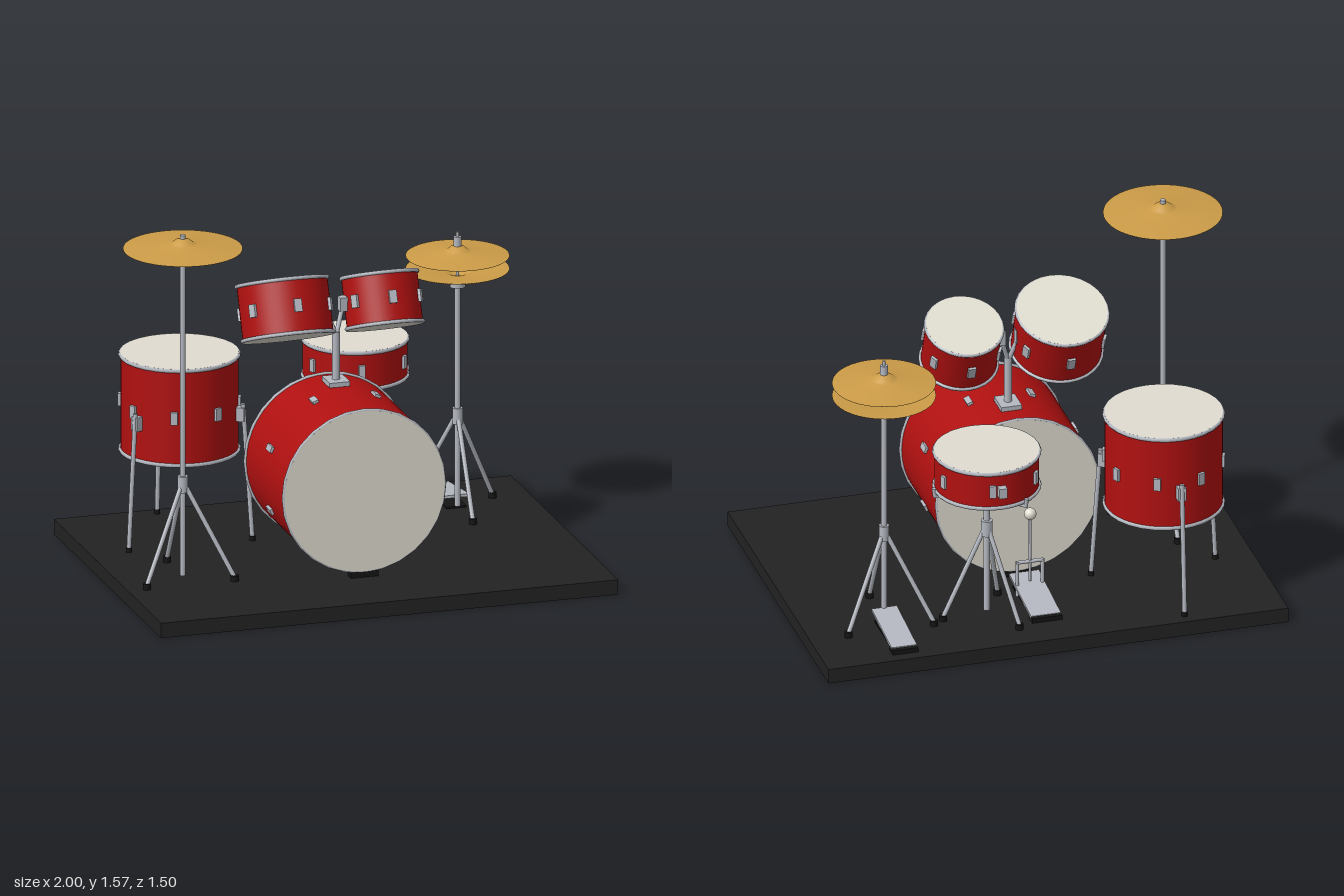
import * as THREE from 'three';

const mat = (name, color, side = THREE.FrontSide) => {
  const m = new THREE.MeshStandardMaterial({ color, side });
  m.name = name;
  return m;
};

export function createModel() {
  const red = mat('red shell', 0xb01010);
  const cream = mat('cream head', 0xe0dcd0);
  const chrome = mat('chrome', 0xb4b8c0);
  const gold = mat('cymbal bronze', 0xcc9c48, THREE.DoubleSide);
  const dark = mat('dark platform', 0x222222);
  const black = mat('black rubber', 0x141414);

  const model = new THREE.Group();
  model.name = 'drumKit';

  const add = (parent, name, geo, material, x = 0, y = 0, z = 0) => {
    const m = new THREE.Mesh(geo, material);
    m.name = name;
    m.position.set(x, y, z);
    parent.add(m);
    return m;
  };
  const group = (name, x = 0, y = 0, z = 0, parent = model) => {
    const g = new THREE.Group();
    g.name = name;
    g.position.set(x, y, z);
    parent.add(g);
    return g;
  };
  const box = (p, name, w, h, d, m, x, y, z) => add(p, name, new THREE.BoxGeometry(w, h, d), m, x, y, z);
  const cyl = (p, name, r, y0, y1, m, x = 0, z = 0) =>
    add(p, name, new THREE.CylinderGeometry(r, r, y1 - y0, 16), m, x, (y0 + y1) / 2, z);
  // Straight rod between two points
  const rod = (p, name, a, b, r, m = chrome) => {
    const A = new THREE.Vector3(...a), B = new THREE.Vector3(...b);
    const d = B.clone().sub(A);
    const mesh = add(p, name, new THREE.CylinderGeometry(r, r, d.length(), 10), m);
    mesh.position.copy(A).add(B).multiplyScalar(0.5);
    mesh.quaternion.setFromUnitVectors(new THREE.Vector3(0, 1, 0), d.normalize());
    return mesh;
  };

  // Drum centred on its own origin with its axis along y
  const drum = (name, r, h, lugs, offset, lugW, lugH, x, y, z) => {
    const g = group(name, x, y, z);
    add(g, 'shell', new THREE.CylinderGeometry(r - 0.007, r - 0.007, h - 0.012, 48, 1, true), red);
    for (const s of [1, -1]) {
      add(g, 'head', new THREE.CylinderGeometry(r - 0.006, r - 0.006, 0.006, 48), cream, 0, s * (h / 2 - 0.003), 0);
      const hoop = add(g, 'hoop', new THREE.TorusGeometry(r - 0.006, 0.009, 6, 28), chrome, 0, s * (h / 2 - 0.008), 0);
      hoop.rotation.x = Math.PI / 2;
    }
    for (let i = 0; i < lugs; i++) {
      const a = offset + (i / lugs) * Math.PI * 2;
      const lug = box(g, 'lug', lugW, lugH, 0.014, chrome, Math.sin(a) * (r - 0.003), 0, Math.cos(a) * (r - 0.003));
      lug.rotation.y = a;
    }
    return g;
  };

  // Three splayed legs with rubber feet and a collar
  const tripod = (g, spread, start, collarR = 0.022) => {
    cyl(g, 'collar', collarR, 0.44, 0.51, chrome);
    for (let i = 0; i < 3; i++) {
      const a = start + (i * Math.PI * 2) / 3, s = Math.sin(a), c = Math.cos(a);
      rod(g, 'leg', [s * 0.015, 0.46, c * 0.015], [s * spread, 0.08, c * spread], 0.01);
      cyl(g, 'foot', 0.017, 0.065, 0.09, black, s * spread, c * spread);
    }
  };

  // Bowed disc with a raised bell; y = 0 at the rim
  const cymbal = (p, name, r, y) => {
    const pts = [[0.008, 0.043], [0.03, 0.036], [0.045, 0.024], [0.06, 0.018], [r * 0.6, 0.008], [r, 0],
      [r, -0.003], [r * 0.6, 0.004], [0.06, 0.014], [0.04, 0.018], [0.008, 0.036]];
    return add(p, name, new THREE.LatheGeometry(pts.map(q => new THREE.Vector2(...q)).reverse(), 48), gold, 0, y, 0);
  };

  // Platform
  box(model, 'platform', 2, 0.065, 1.5, dark, 0, 0.0325, 0);

  // Bass drum lying on its side, with low supports
  drum('bassDrum', 0.357, 0.55, 8, Math.PI / 8, 0.026, 0.06, 0, 0.442, 0.125).rotation.x = Math.PI / 2;
  for (const z of [0.38, -0.13]) box(model, 'bassSupport', 0.12, 0.025, 0.04, black, 0, 0.077, z);

  // Rack toms tilted toward the player, on a shared post
  const tilt = -0.385;
  drum('rightTom', 0.198, 0.245, 6, 0, 0.033, 0.055, -0.215, 1.13, -0.025).rotation.x = tilt;
  drum('leftTom', 0.167, 0.228, 6, 0, 0.033, 0.055, 0.212, 1.128, -0.033).rotation.x = tilt;
  const mount = group('tomMount');
  box(mount, 'mountPlate', 0.09, 0.02, 0.11, chrome, 0, 0.803, 0);
  cyl(mount, 'mountPost', 0.016, 0.8, 1.02, chrome);
  for (const s of [1, -1]) {
    rod(mount, 'tomArm', [0, 1.0, 0], [s * 0.04, 1.13, -0.03], 0.01);
    box(mount, 'tomBracket', 0.035, 0.06, 0.04, chrome, s * 0.04, 1.13, -0.03);
  }

  // Floor tom on three legs
  drum('floorTom', 0.254, 0.43, 8, Math.PI / 8, 0.03, 0.055, -0.565, 0.655, -0.383);
  const floorLegs = group('floorTomLegs', -0.565, 0, -0.383);
  for (let i = 0; i < 3; i++) {
    const a = Math.PI / 3 + (i * Math.PI * 2) / 3, s = Math.sin(a), c = Math.cos(a);
    box(floorLegs, 'legBracket', 0.035, 0.06, 0.035, chrome, s * 0.262, 0.615, c * 0.262).rotation.y = a;
    rod(floorLegs, 'floorLeg', [s * 0.272, 0.66, c * 0.272], [s * 0.312, 0.075, c * 0.312], 0.01);
    cyl(floorLegs, 'floorFoot', 0.013, 0.065, 0.085, black, s * 0.312, c * 0.312);
  }

  // Snare drum with strainer, basket and tripod
  const snare = drum('snareDrum', 0.226, 0.175, 6, -0.17, 0.028, 0.055, 0.225, 0.755, -0.453);
  box(snare, 'strainer', 0.035, 0.045, 0.035, chrome, 0, 0, -0.234);
  const snareStand = group('snareStand', 0.225, 0, -0.453);
  cyl(snareStand, 'pole', 0.013, 0.09, 0.64, chrome);
  tripod(snareStand, 0.19, Math.PI / 2, 0.025);
  for (let i = 0; i < 3; i++) {
    const a = Math.PI / 2 + (i * Math.PI * 2) / 3, s = Math.sin(a), c = Math.cos(a);
    rod(snareStand, 'basketArm', [0, 0.625, 0], [s * 0.225, 0.655, c * 0.225], 0.008);
    rod(snareStand, 'basketClaw', [s * 0.225, 0.65, c * 0.225], [s * 0.23, 0.69, c * 0.23], 0.009);
  }

  // Crash cymbal on a tall stand
  const crash = group('crashStand', -0.725, 0, 0.175);
  cyl(crash, 'pole', 0.012, 0.075, 1.53, chrome);
  cyl(crash, 'wingNut', 0.012, 1.53, 1.565, chrome);
  tripod(crash, 0.222, Math.PI / 3);
  cymbal(crash, 'crashCymbal', 0.25, 1.508);

  // Hi-hat: mirrored cymbal pair, rod, clutch and pedal
  const hat = group('hiHat', 0.65, 0, -0.378);
  cyl(hat, 'pole', 0.013, 0.08, 1.05, chrome);
  cyl(hat, 'pullRod', 0.007, 1.05, 1.28, chrome);
  cyl(hat, 'seat', 0.033, 1.04, 1.075, chrome);
  cyl(hat, 'clutch', 0.016, 1.215, 1.26, chrome);
  tripod(hat, 0.215, 0);
  cymbal(hat, 'topCymbal', 0.217, 1.178);
  cymbal(hat, 'bottomCymbal', 0.217, 1.118).rotation.x = Math.PI;

  // Foot pedals: sloping board on a heel block
  const pedal = (name, x, zHeel, len, w) => {
    const g = group(name, x, 0, zHeel);
    box(g, 'heel', w, 0.02, 0.05, black, 0, 0.075, 0.015);
    box(g, 'basePlate', w * 0.8, 0.008, len, black, 0, 0.069, len / 2);
    box(g, 'footboard', w, 0.012, len, chrome, 0, 0.102, len / 2 + 0.01).rotation.x = -0.12;
    return g;
  };
  pedal('hiHatPedal', 0.65, -0.69, 0.3, 0.11);
  const kick = pedal('kickPedal', 0, -0.575, 0.33, 0.13);
  for (const s of [1, -1]) rod(kick, 'pedalPost', [s * 0.055, 0.065, 0.25], [s * 0.055, 0.225, 0.25], 0.008);
  rod(kick, 'axle', [-0.06, 0.22, 0.25], [0.06, 0.22, 0.25], 0.008);
  rod(kick, 'beaterShaft', [0, 0.13, 0.25], [0, 0.44, 0.245], 0.006);
  add(kick, 'beater', new THREE.SphereGeometry(0.026, 20, 14), cream, 0, 0.445, 0.245);

  return model;
}
